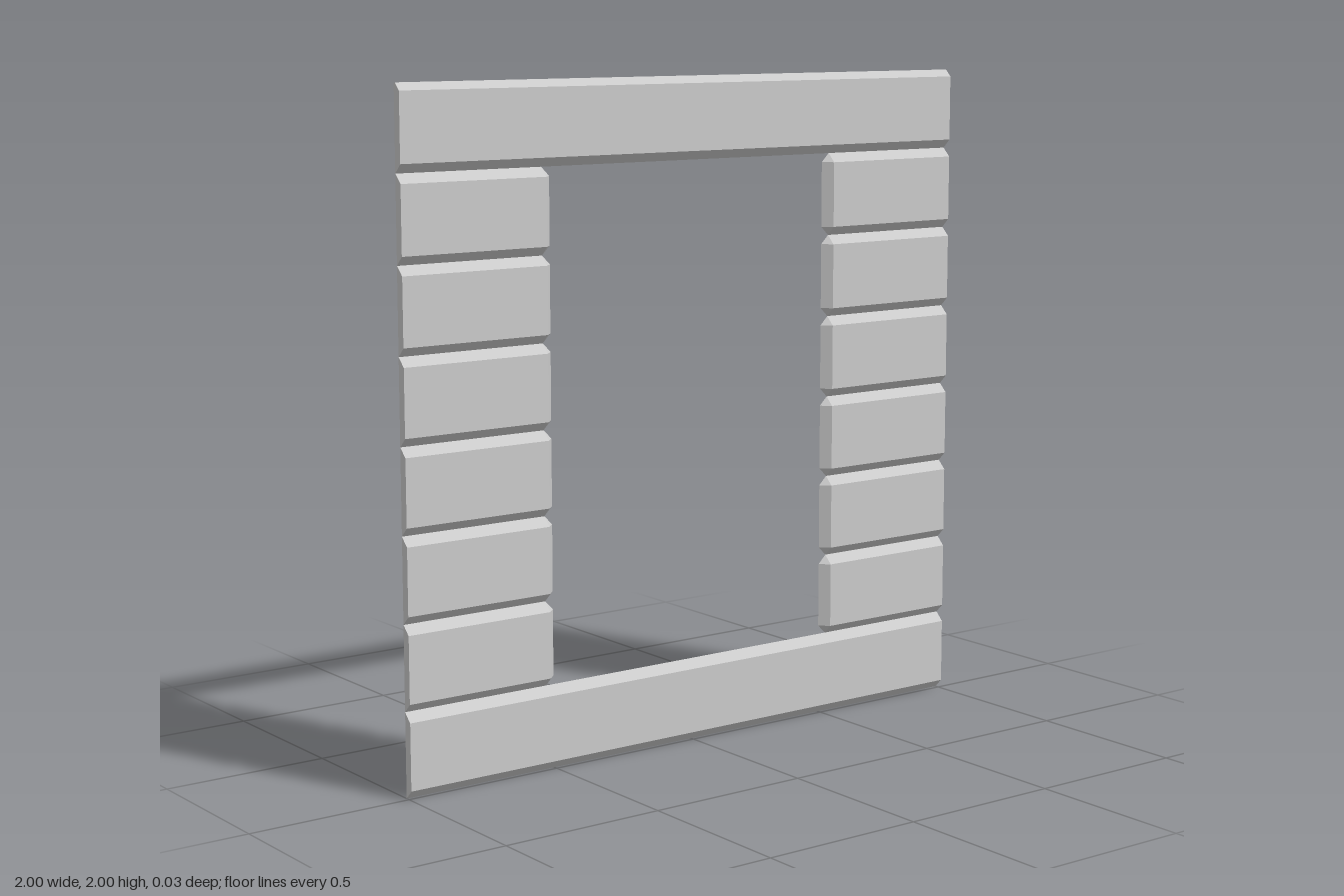
import * as THREE from 'three';
import { ConvexGeometry } from 'three/addons/geometries/ConvexGeometry.js';

const ROWS = 8;
const PITCH = 0.2507;       // height of one plank course
const DEPTH = 0.0267;       // wall thickness
const BEVEL = DEPTH;        // 45 degree bevel running from front face to back
const OPENING = 0.5;        // half width of the opening
const BACK = -DEPTH / 2, FRONT = DEPTH / 2;

const material = new THREE.MeshStandardMaterial({ color: 0xcccccc, flatShading: true });

// Flat-faced solid around [x, y, z] corners
function solid(name, corners) {
  const mesh = new THREE.Mesh(new ConvexGeometry(corners.map(c => new THREE.Vector3(...c))), material);
  mesh.name = name;
  return mesh;
}

// Full-width plank; its top bevel is trimmed at y = 2
function longPlank(name, row) {
  const y0 = row * PITCH, y1 = y0 + PITCH, top = Math.min(y1, 2);
  const corners = [];
  for (const x of [-1, 1]) {
    corners.push([x, y0, BACK], [x, y0 + BEVEL, FRONT], [x, y1 - BEVEL, FRONT], [x, top, BACK]);
    if (top < y1) corners.push([x, top, BACK + y1 - top]);
  }
  return solid(name, corners);
}

// Plank beside the opening, with a bevelled inner end and clipped corners
function shortPlank(name, row, side) {
  const y0 = row * PITCH, y1 = y0 + PITCH;
  const outer = side, inner = side * OPENING, inset = side * (OPENING + BEVEL);
  const corners = [];
  for (const [edge, face] of [[y0, y0 + BEVEL], [y1, y1 - BEVEL]]) {
    corners.push([outer, edge, BACK], [inset, edge, BACK], [inner, face, BACK],
      [outer, face, FRONT], [inset, face, FRONT]);
  }
  return solid(name, corners);
}

export function createModel() {
  const wall = new THREE.Group();
  wall.name = 'plankWallWithOpening';
  wall.add(longPlank('bottomPlank', 0), longPlank('topPlank', ROWS - 1));

  // Short planks on both sides of the opening
  for (const [name, side] of [['left', 1], ['right', -1]]) {
    const stack = new THREE.Group();
    stack.name = name + 'Planks';
    for (let row = 1; row < ROWS - 1; row++) stack.add(shortPlank(name + 'Plank' + row, row, side));
    wall.add(stack);
  }
  return wall;
}
